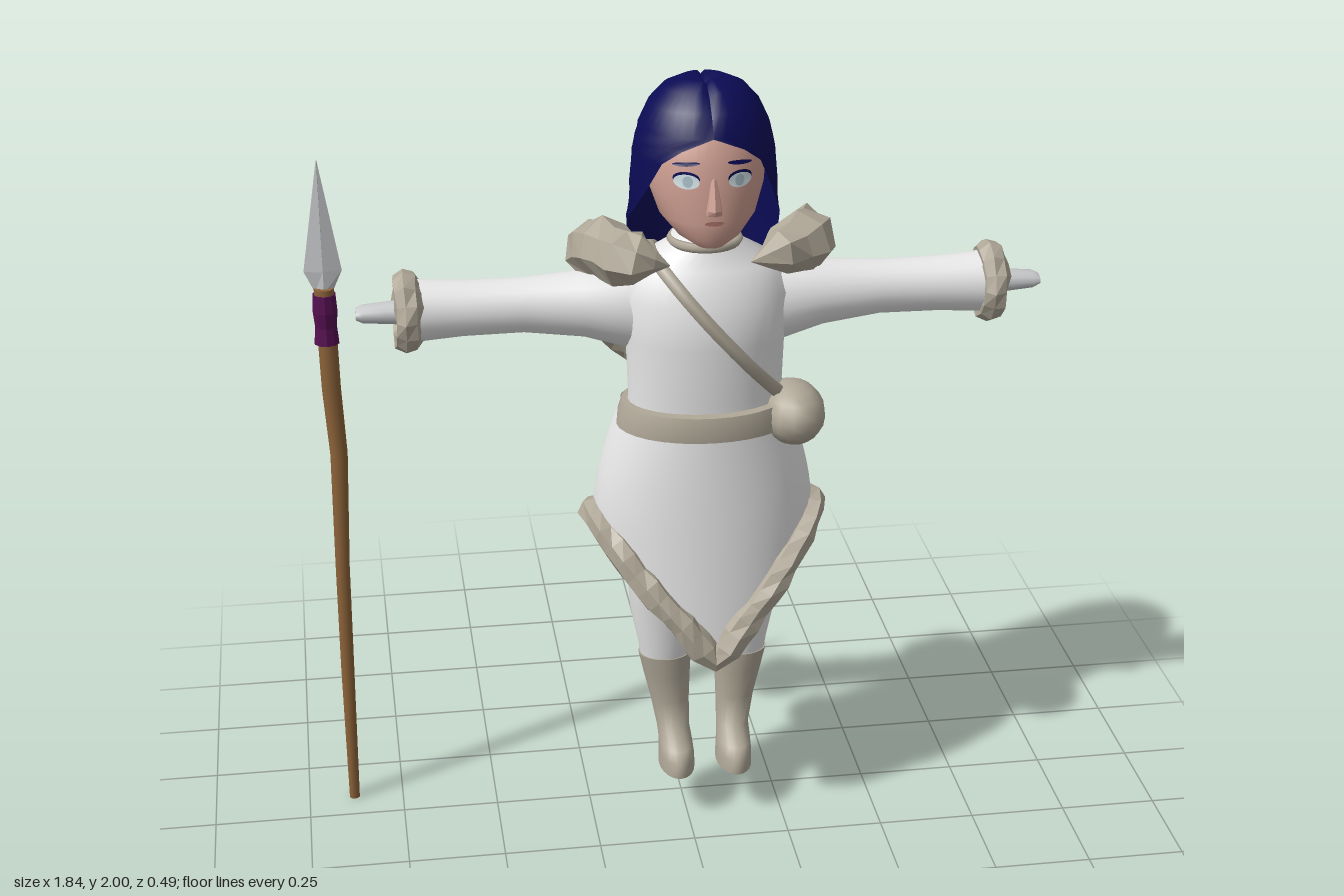
import * as THREE from 'three';

const mat = (name, color, side = THREE.FrontSide) => {
  const m = new THREE.MeshStandardMaterial({ color, side });
  m.name = name;
  return m;
};
const V = (x, y, z) => new THREE.Vector3(x, y, z);

// Surface from a rule f(u, v): u runs to the right seen from outside, v runs up
function grid(nu, nv, closed, f) {
  const pos = [], idx = [], w = closed ? nu : nu + 1;
  for (let j = 0; j <= nv; j++)
    for (let i = 0; i < w; i++) pos.push(...f(i / nu, j / nv, j));
  for (let j = 0; j < nv; j++)
    for (let i = 0; i < nu; i++) {
      const a = j * w + i, b = j * w + (i + 1) % w;
      idx.push(a, b, b + w, a, b + w, a + w);
    }
  const g = new THREE.BufferGeometry();
  g.setAttribute('position', new THREE.Float32BufferAttribute(pos, 3));
  g.setIndex(idx);
  g.computeVertexNormals();
  return g;
}

// Capped loft through ellipses, bottom to top; row = [y, centreX, centreZ, radiusX, radiusZ]
function loft(rows, n = 24) {
  const a = rows[0], b = rows[rows.length - 1];
  const flat = ([y, x, z]) => [y, x, z, 0, 0];
  const all = [flat(a), a, ...rows, b, flat(b)];
  return grid(n, all.length - 1, true, (u, v, j) => {
    const [y, cx, cz, rx, rz] = all[j], t = u * Math.PI * 2;
    return [cx + rx * Math.sin(t), y, cz + rz * Math.cos(t)];
  });
}

const faceted = (g) => {
  const f = g.toNonIndexed();
  f.computeVertexNormals();
  return f;
};

// z of a loft's front (side 1) or back (side -1) at x, y
function surfaceZ(rows, x, y, side = 1) {
  let k = 0;
  while (k < rows.length - 2 && rows[k + 1][0] < y) k++;
  const t = (y - rows[k][0]) / (rows[k + 1][0] - rows[k][0]);
  const [, cx, cz, rx, rz] = rows[k].map((p, i) => p + (rows[k + 1][i] - p) * t);
  return cz + side * rz * Math.sqrt(Math.max(0, 1 - ((x - cx) / rx) ** 2));
}

// Ragged faceted tube; radius(t) along the path
function furTube(points, closed, seg, radius) {
  const curve = new THREE.CatmullRomCurve3(points, closed);
  const g = new THREE.TubeGeometry(curve, seg, 1, 7, closed), p = g.attributes.position;
  for (let k = 0; k < p.count; k++) {
    const ring = Math.floor(k / 8), c = curve.getPointAt(ring / seg);
    const h = Math.sin((closed ? ring % seg : ring) * 12.99 + (k % 8 % 7) * 78.23) * 43758.5;
    const r = radius(ring / seg) * (0.82 + 0.36 * (h - Math.floor(h)));
    const v = V().fromBufferAttribute(p, k).sub(c).multiplyScalar(r).add(c);
    p.setXYZ(k, v.x, v.y, v.z);
  }
  return faceted(g);
}

export function createModel() {
  const cloth = mat('white cloth', 0xf0f0f0, THREE.DoubleSide);
  const fur = mat('grey fur and leather', 0xb0a898, THREE.DoubleSide);
  const skin = mat('skin', 0xcf9f92);
  const hairMat = mat('navy hair', 0x0b0b55, THREE.DoubleSide);
  const wood = mat('wood', 0x8c6339);
  const purple = mat('purple binding', 0x560f52);
  const steel = mat('pale steel', 0xc6c8ca);
  const eyeMat = mat('pale eye', 0xd8e6ea);
  const irisMat = mat('grey iris', 0xa9bfc8);
  const lip = mat('lips', 0xa86f68);

  const model = new THREE.Group(), body = new THREE.Group();
  body.name = 'body';
  body.position.x = 0.055;
  model.add(body);
  const add = (name, geo, material, parent = body) => {
    const m = new THREE.Mesh(geo, material);
    m.name = name;
    parent.add(m);
    return m;
  };

  // Torso, with neck
  const torso = [
    [1.1, 0, 0.04, 0.2, 0.13], [1.2, 0, 0.035, 0.195, 0.13], [1.35, 0, 0.035, 0.2, 0.145],
    [1.46, 0, 0.03, 0.21, 0.14], [1.54, 0, 0.015, 0.18, 0.115], [1.59, 0, 0.02, 0.09, 0.08],
    [1.66, 0, 0.025, 0.06, 0.06]];
  add('torso', loft(torso, 32), cloth);
  add('pelvis', loft([[0.86, 0, 0.015, 0.12, 0.075], [0.95, 0, 0.015, 0.18, 0.1],
    [1.12, 0, 0.03, 0.19, 0.12]]), cloth);
  add('neckBand', new THREE.TorusGeometry(0.083, 0.012, 6, 24).rotateX(Math.PI / 2)
    .translate(0, 1.595, 0.025), fur);
  add('hood', new THREE.SphereGeometry(1, 20, 14).scale(0.21, 0.18, 0.075)
    .translate(0, 1.37, -0.085), cloth);

  // Skirt with pointed front and back
  const hemY = (a) => {
    const s = Math.abs(Math.sin(a));
    return Math.cos(a) > 0 ? 0.515 + 0.345 * s : 0.605 + 0.255 * s;
  };
  const skirtPoint = (a, y) => {
    const t = (1.17 - y) / 0.67, c = Math.cos(a);
    const rx = 0.21 + 0.075 * Math.sin(Math.min(1, t * 2) * Math.PI / 2);
    return [rx * Math.sin(a), y, c * (c > 0 ? 0.185 + 0.035 * t : 0.105 + 0.045 * t)];
  };
  add('skirt', grid(48, 12, true, (u, v) => {
    const a = u * Math.PI * 2, h = hemY(a);
    return skirtPoint(a, h + (1.17 - h) * v);
  }), cloth);
  const hem = Array.from({ length: 32 }, (_, i) => {
    const a = i / 32 * Math.PI * 2;
    return V(...skirtPoint(a, hemY(a)));
  });
  add('skirtFur', furTube(hem, true, 44, () => 0.038), fur);

  // Belt, shoulder strap and pouch
  add('belt', loft([[1.115, 0, 0.04, 0.226, 0.158], [1.15, 0, 0.04, 0.222, 0.16],
    [1.18, 0, 0.04, 0.212, 0.154]], 32), fur);
  const strap = [];
  for (const side of [1, -1])
    for (let i = 0; i <= 6; i++) {
      const t = side > 0 ? i / 6 : 1 - i / 6, x = -0.13 + 0.31 * t, y = 1.56 - 0.36 * t;
      strap.push(V(x, y, surfaceZ(torso, x, y, side) + side * 0.004));
    }
  add('shoulderStrap', new THREE.TubeGeometry(new THREE.CatmullRomCurve3(strap, true), 60, 0.019, 6, true), fur);
  add('pouch', new THREE.SphereGeometry(1, 14, 10).scale(0.082, 0.08, 0.11)
    .translate(0.215, 1.145, 0.095), fur);

  // Fur mantle: over both shoulders and down the back
  const half = [[0.1, 1.56, 0.12], [0.19, 1.575, 0.1], [0.255, 1.575, 0.01], [0.265, 1.53, -0.07],
    [0.215, 1.35, -0.125], [0.12, 1.235, -0.165]];
  const mantle = [...half.map(([x, y, z]) => V(-x, y, z)), V(0, 1.2, -0.175),
    ...half.reverse().map((p) => V(...p))];
  add('furMantle', furTube(mantle, false, 40, (t) => {
    const s = 1 - Math.abs(2 * t - 1);
    return (0.06 + 0.018 * Math.exp(-(((s - 0.25) / 0.15) ** 2))) * Math.min(1, s * 9 + 0.02);
  }), fur);

  // Arms and legs
  for (const s of [1, -1]) {
    const side = s > 0 ? 'left' : 'right';
    const arm = new THREE.Group();
    arm.name = side + 'Arm';
    arm.position.set(0, 1.43, -0.008);
    body.add(arm);
    const along = (rows, n) => loft(rows, n).rotateZ(-s * Math.PI / 2);
    add(side + 'Sleeve', along([[0.1, s * 0.02, 0, 0.11, 0.1], [0.2, s * 0.012, 0, 0.108, 0.098],
      [0.3, s * 0.004, 0, 0.084, 0.085], [0.45, 0, 0, 0.069, 0.066], [0.6, 0, 0, 0.07, 0.07],
      [0.73, 0, 0, 0.079, 0.077]]), cloth, arm);
    add(side + 'Hand', along([[0.72, 0, 0.005, 0.034, 0.034], [0.79, 0, 0.005, 0.027, 0.032],
      [0.845, 0, 0.005, 0.022, 0.03], [0.862, 0, 0.005, 0.013, 0.026]], 12), steel, arm);
    const cuff = Array.from({ length: 12 }, (_, i) => {
      const a = i / 12 * Math.PI * 2;
      return V(s * 0.735, 0.075 * Math.sin(a), 0.073 * Math.cos(a));
    });
    add(side + 'CuffFur', furTube(cuff, true, 14, () => 0.035), fur, arm);

    add(side + 'Leg', loft([[0.41, s * 0.1, 0.01, 0.062, 0.052], [0.47, s * 0.1, 0.012, 0.07, 0.06],
      [0.58, s * 0.105, 0.015, 0.087, 0.073], [0.72, s * 0.105, 0.02, 0.096, 0.083],
      [0.86, s * 0.105, 0.022, 0.1, 0.09], [1.02, s * 0.09, 0.015, 0.09, 0.09]]), cloth);
    add(side + 'Boot', loft([[0.125, s * 0.077, 0.064, 0.047, 0.09], [0.165, s * 0.077, 0.064, 0.046, 0.092],
      [0.192, s * 0.078, 0.053, 0.044, 0.08], [0.22, s * 0.08, 0.022, 0.043, 0.046],
      [0.3, s * 0.087, 0.012, 0.051, 0.042], [0.38, s * 0.095, 0.01, 0.062, 0.053],
      [0.44, s * 0.1, 0.01, 0.07, 0.06]]), fur);
  }

  // Head and face
  const head = [
    [1.61, 0, 0.11, 0.035, 0.04], [1.635, 0, 0.085, 0.078, 0.085], [1.68, 0, 0.057, 0.118, 0.118],
    [1.75, 0, 0.035, 0.142, 0.135], [1.82, 0, 0.022, 0.148, 0.142], [1.9, 0, 0.01, 0.13, 0.128],
    [1.96, 0, 0, 0.07, 0.07]];
  add('head', loft(head, 40), skin);
  add('nose', faceted(loft([[1.702, 0, 0.16, 0.024, 0.026], [1.715, 0, 0.16, 0.022, 0.032],
    [1.79, 0, 0.155, 0.01, 0.014]], 8)), skin);
  // Thin discs laid on the face
  const decal = (name, x, y, w, h, lift, material, tilt = 0) => {
    const g = new THREE.CircleGeometry(1, 20).scale(w, h, 1).rotateZ(tilt).translate(x, y, 0);
    const p = g.attributes.position;
    for (let i = 0; i < p.count; i++) p.setZ(i, surfaceZ(head, p.getX(i), p.getY(i)) + lift);
    g.computeVertexNormals();
    add(name, g, material);
  };
  for (const s of [1, -1]) {
    const side = s > 0 ? 'left' : 'right';
    decal(side + 'Lash', s * 0.065, 1.79, 0.031, 0.018, 0.003, hairMat);
    decal(side + 'Eye', s * 0.065, 1.784, 0.03, 0.018, 0.005, eyeMat);
    decal(side + 'Iris', s * 0.063, 1.785, 0.012, 0.014, 0.007, irisMat);
    decal(side + 'Brow', s * 0.065, 1.826, 0.032, 0.005, 0.004, hairMat, -s * 0.1);
  }
  decal('mouth', 0, 1.682, 0.024, 0.006, 0.004, lip);

  // Hair shell: [y, radiusX, frontZ, backZ, half opening in degrees]
  const hair = [
    [1.41, 0.17, 0.1, 0.172, 145], [1.48, 0.185, 0.1, 0.168, 122], [1.55, 0.192, 0.12, 0.165, 100],
    [1.65, 0.19, 0.15, 0.162, 86], [1.74, 0.182, 0.163, 0.158, 58], [1.82, 0.175, 0.168, 0.152, 43],
    [1.855, 0.168, 0.166, 0.148, 27], [1.887, 0.16, 0.16, 0.142, 0], [1.94, 0.135, 0.13, 0.125, 0],
    [1.978, 0.1, 0.09, 0.09, 0], [1.998, 0.055, 0.045, 0.05, 0], [1.985, 0, 0, 0, 0]];
  add('hair', grid(40, hair.length - 1, false, (u, v, j) => {
    const [y, rx, zf, zb, open] = hair[j], o = open * Math.PI / 180;
    const a = o + (2 * Math.PI - 2 * o) * u, c = Math.cos(a), x = rx * Math.sin(a);
    const part = j > 7 && Math.abs(x) < 0.004 ? 0.01 : 0;
    return [x, y - part, c * (c > 0 ? zf : zb)];
  }), hairMat);

  // Spear
  const spear = new THREE.Group();
  spear.name = 'spear';
  spear.position.set(-0.88, 0, -0.09);
  model.add(spear);
  add('spearShaft', loft([[0, 0, 0, 0.014, 0.014], [0.4, 0.002, 0, 0.018, 0.018], [0.7, 0.005, 0, 0.019, 0.019],
    [1.02, 0.013, 0, 0.023, 0.023], [1.2, 0.004, 0, 0.025, 0.025], [1.47, 0, 0, 0.026, 0.026]], 10), wood, spear);
  add('spearBinding', faceted(loft([[1.325, 0, 0, 0.032, 0.032], [1.37, 0, 0, 0.028, 0.028],
    [1.41, 0, 0, 0.032, 0.032], [1.455, 0, 0, 0.029, 0.029]], 10)), purple, spear);
  add('spearBlade', faceted(loft([[1.46, 0, 0, 0.022, 0.012], [1.515, 0, 0, 0.047, 0.012],
    [1.8, 0, 0, 0.001, 0.001]], 4)), steel, spear);

  return model;
}
